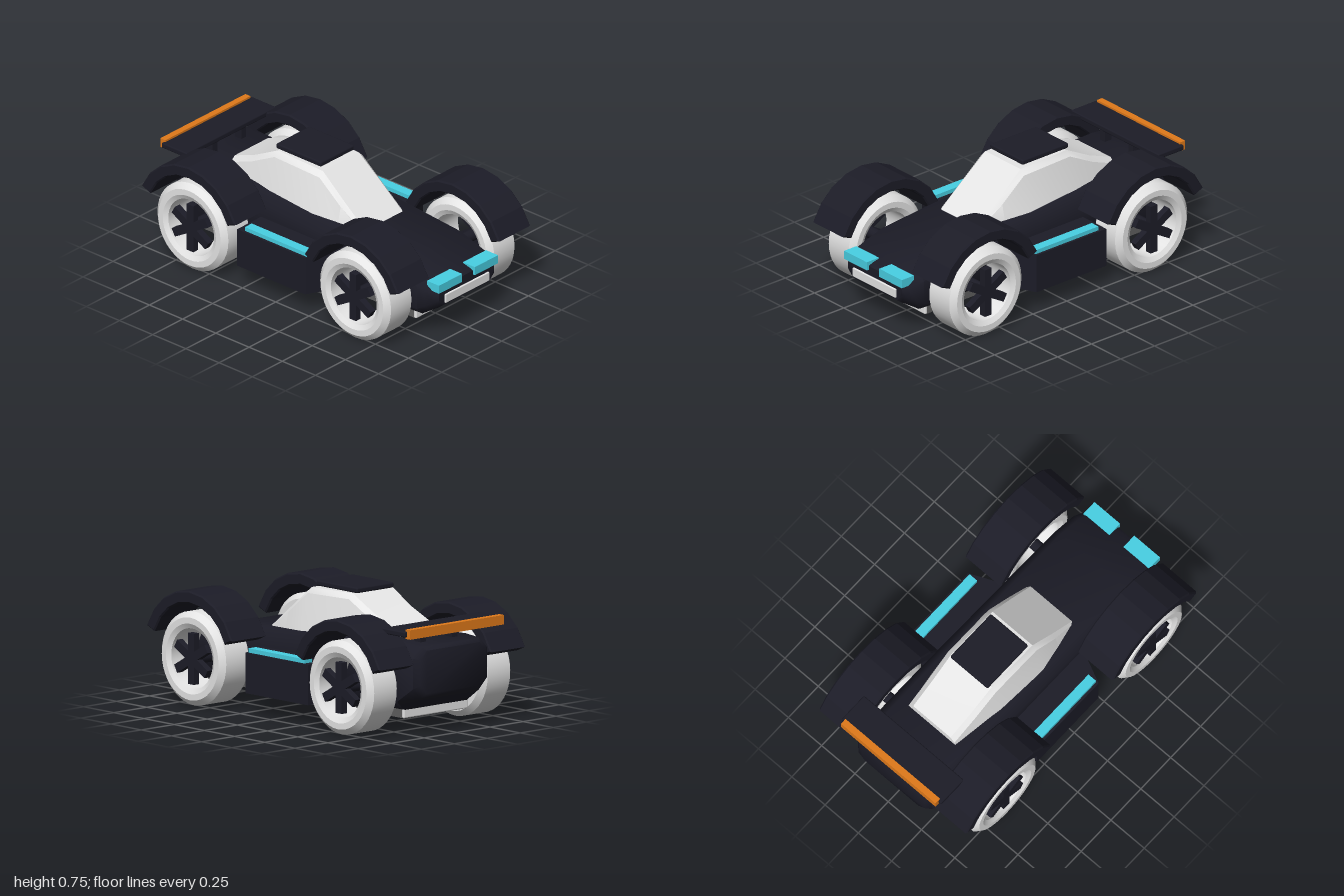
import * as THREE from 'three';
import { toCreasedNormals } from 'three/addons/utils/BufferGeometryUtils.js';
import { RoundedBoxGeometry } from 'three/addons/geometries/RoundedBoxGeometry.js';

const material = (name, color) => {
  const m = new THREE.MeshStandardMaterial({ color });
  m.name = name;
  return m;
};

// Skin through cross-sections ordered back to front; each is [z, right-hand points from bottom to top]
function loft(sections, crease) {
  const rings = sections.map(([z, half]) => [
    ...half.map(([x, y]) => [x, y, z]),
    ...half.slice().reverse().map(([x, y]) => [-x, y, z]),
  ]);
  const n = rings[0].length, last = (rings.length - 1) * n, index = [];
  for (let i = 0; i < rings.length - 1; i++) {
    for (let j = 0; j < n; j++) {
      const k = (j + 1) % n, a = i * n + j, b = i * n + k, c = b + n, d = a + n;
      index.push(a, b, c, a, c, d);
    }
  }
  for (let j = 1; j < n - 1; j++) {
    index.push(0, j + 1, j, last, last + j, last + j + 1);
  }
  const g = new THREE.BufferGeometry();
  g.setAttribute('position', new THREE.Float32BufferAttribute(rings.flat(2), 3));
  g.setIndex(index);
  return toCreasedNormals(g, crease);
}

export function createModel() {
  const dark = material('dark navy', 0x1c1c27);
  const light = material('light grey', 0xe6e6e6);
  const grey = material('floor grey', 0x606060);
  const cyan = material('cyan', 0x48d0e4);
  const orange = material('orange', 0xe07a1a);

  const car = new THREE.Group();
  car.name = 'buggy';
  const add = (name, geometry, mat, x = 0, y = 0, z = 0, parent = car) => {
    const mesh = new THREE.Mesh(geometry, mat);
    mesh.name = name;
    mesh.position.set(x, y, z);
    parent.add(mesh);
    return mesh;
  };
  // Box given by its limits, with optional rounded edges
  const box = (name, mat, [x0, x1], [y0, y1], [z0, z1], r = 0) => {
    const size = [x1 - x0, y1 - y0, z1 - z0];
    const g = r ? new RoundedBoxGeometry(...size, 2, r) : new THREE.BoxGeometry(...size);
    return add(name, g, mat, (x0 + x1) / 2, (y0 + y1) / 2, (z0 + z1) / 2);
  };

  // Main body: chamfered cross-sections
  const hull = (z, w, y0, y1, c) => [z, [[w - c, y0], [w, y0 + c], [w, y1 - c], [w - c, y1]]];
  add('body', loft([
    hull(-0.97, 0.25, 0.24, 0.485, 0.05),
    hull(-0.94, 0.28, 0.21, 0.505, 0.06),
    hull(-0.82, 0.29, 0.13, 0.51, 0.055),
    hull(-0.4, 0.29, 0.13, 0.495, 0.05),
    hull(0.37, 0.29, 0.13, 0.445, 0.05),
    hull(0.72, 0.29, 0.13, 0.41, 0.045),
    hull(0.87, 0.285, 0.135, 0.368, 0.045),
    hull(0.91, 0.27, 0.16, 0.353, 0.045),
    hull(0.96, 0.25, 0.19, 0.342, 0.045),
    hull(0.985, 0.23, 0.21, 0.33, 0.04),
  ], 0.85), dark);

  // Floor with light bars across its front and rear ends
  box('floorPan', grey, [-0.24, 0.24], [0.085, 0.14], [-0.81, 0.81]);
  box('frontSplitter', light, [-0.242, 0.242], [0.084, 0.14], [0.805, 0.825], 0.008);
  box('rearSplitter', light, [-0.242, 0.242], [0.084, 0.14], [-0.825, -0.805], 0.008);

  // Canopy and roof
  const cabin = (z, base, shoulder, roof, y1) =>
    [z, [[base, 0.42], [shoulder, y1 - Math.min(0.03, (y1 - 0.42) / 2)], [roof, y1]]];
  add('canopy', loft([
    cabin(-0.635, 0.19, 0.17, 0.14, 0.56),
    cabin(-0.47, 0.215, 0.175, 0.145, 0.625),
    cabin(-0.3, 0.235, 0.18, 0.15, 0.715),
    cabin(0.04, 0.245, 0.18, 0.15, 0.705),
    cabin(0.2, 0.21, 0.18, 0.155, 0.577),
    cabin(0.365, 0.17, 0.168, 0.155, 0.445),
  ], 0.5), light);
  box('roofPanel', dark, [-0.14, 0.14], [0.715, 0.747], [-0.325, 0.015], 0.01);

  // Nose details
  box('nosePlate', light, [-0.183, 0.183], [0.22, 0.275], [0.93, 0.995], 0.005);
  for (const s of [-1, 1]) {
    const lamp = box('headlight', cyan, [0.053, 0.246], [0.307, 0.358], [0.91, 1]);
    lamp.position.x *= s;
  }

  // Rear wing
  box('wingPlate', dark, [-0.375, 0.375], [0.58, 0.612], [-0.975, -0.785], 0.008);
  box('wingEdge', orange, [-0.355, 0.355], [0.57, 0.624], [-1, -0.962]);

  // Wheel: closed tyre profile turned round the x axis
  const tyre = new THREE.LatheGeometry([
    [0.172, -0.1], [0.2, -0.115], [0.235, -0.115], [0.267, -0.085],
    [0.267, 0.085], [0.235, 0.115], [0.2, 0.115], [0.172, 0.1], [0.172, -0.1],
  ].map(([x, y]) => new THREE.Vector2(x, y)), 40).rotateZ(-Math.PI / 2);
  const tyreGeometry = toCreasedNormals(tyre, 0.4);
  const spoke = new THREE.BoxGeometry(0.04, 0.29, 0.05);
  const axle = new THREE.CylinderGeometry(0.035, 0.035, 0.24, 12).rotateZ(Math.PI / 2);

  // Mudguard: faceted arch swept across the wheel
  const arch = new THREE.Shape();
  const start = 0.395, span = Math.PI - 2 * start, steps = 8;
  const arc = (r, i) => {
    const a = start + span * i / steps;
    return new THREE.Vector2(r * Math.cos(a), r * Math.sin(a));
  };
  const archPoints = [];
  for (let i = 0; i <= steps; i++) archPoints.push(arc(0.372, i));
  for (let i = steps; i >= 0; i--) archPoints.push(arc(0.318, i));
  arch.setFromPoints(archPoints);
  const guard = new THREE.ExtrudeGeometry(arch, {
    depth: 0.249, bevelEnabled: true, bevelSize: 0.008, bevelThickness: 0.008, bevelSegments: 1,
  }).translate(0, 0, -0.1245).rotateY(Math.PI / 2);

  for (const s of [-1, 1]) {
    for (const [end, z] of [['front', 0.615], ['rear', -0.61]]) {
      const wheel = new THREE.Group();
      wheel.name = end + 'Wheel';
      wheel.position.set(s * 0.43, 0.267, z);
      car.add(wheel);
      add('tyre', tyreGeometry, light, 0, 0, 0, wheel);
      for (let i = 0; i < 3; i++) {
        add('spoke', spoke, dark, s * 0.09, 0, 0, wheel).rotation.x = i * Math.PI / 3;
      }
      add('axle', axle, dark, -s * 0.04, 0, 0, wheel);
      add(end + 'Mudguard', guard, dark, s * 0.422, 0.274, z);
    }

    // Side pod with a tapered front, topped by a light strip
    const plan = new THREE.Shape([[0.25, 0.3], [0.49, 0.3], [0.49, -0.215], [0.36, -0.275], [0.25, -0.31]]
      .map(([x, y]) => new THREE.Vector2(s * x, y)));
    const pod = new THREE.ExtrudeGeometry(plan, { depth: 0.23, bevelEnabled: false }).rotateX(-Math.PI / 2);
    add('sidePod', pod, dark, 0, 0.12, 0);
    const strip = box('podLightStrip', cyan, [0.418, 0.475], [0.34, 0.374], [-0.255, 0.21]);
    strip.position.x *= s;

    // Wing support
    const strut = box('wingStrut', dark, [0.1, 0.14], [0.48, 0.59], [-0.85, -0.8]);
    strut.position.x *= s;
  }
  return car;
}
